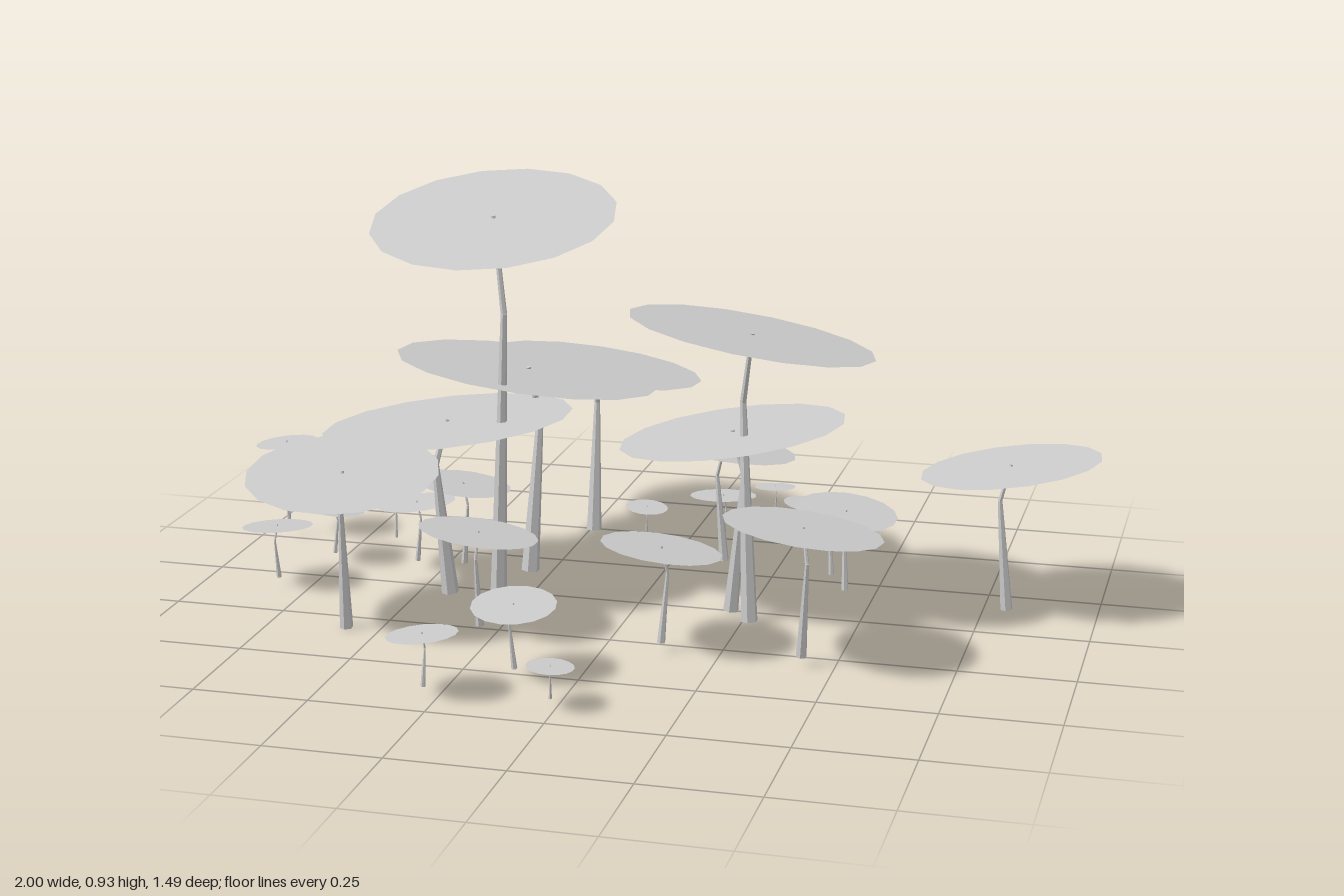
import * as THREE from 'three';

const UP = new THREE.Vector3(0, 1, 0);
const material = new THREE.MeshStandardMaterial({ color: 0xcccccc, flatShading: true, side: THREE.DoubleSide });

// Tapered straight piece of stem between two points
function stemPiece(name, from, to, rFrom, rTo) {
  const dir = to.clone().sub(from);
  const mesh = new THREE.Mesh(new THREE.CylinderGeometry(rTo, rFrom, dir.length(), 6), material);
  mesh.name = name;
  mesh.position.copy(from).add(to).multiplyScalar(0.5);
  mesh.quaternion.setFromUnitVectors(UP, dir.normalize());
  return mesh;
}

// Plant at x, z with pad radius r; a pad's height follows its size and most pads lean the same way
function makePlant(index, x, z, r, { y = r * 1.77, leanX = -0.12, leanZ = 0.1 } = {}) {
  const plant = new THREE.Group();
  plant.name = `lilyPlant${index + 1}`;

  // Flat tilted leaf pad
  const padGeometry = new THREE.CircleGeometry(r, 16, index * 0.7).rotateX(-Math.PI / 2);
  const pad = new THREE.Mesh(padGeometry, material);
  pad.name = 'leafPad';
  pad.position.set(x, y, z);
  pad.quaternion.setFromUnitVectors(UP, new THREE.Vector3(-leanX, 1, -leanZ).normalize());

  // Bent stem, widening toward its foot; each plant bends a golden angle further round
  const angle = THREE.MathUtils.degToRad(30 + index * 137.5);
  const bend = r * 0.11;
  const foot = new THREE.Vector3(x, r < 0.2 ? 0.02 : 0, z);
  const knee = new THREE.Vector3(x + bend * Math.cos(angle), y * 0.76, z + bend * Math.sin(angle));
  const tip = new THREE.Vector3(x, y + 0.004, z);
  plant.add(
    pad,
    stemPiece('lowerStem', foot, knee, r * 0.07, r * 0.027),
    stemPiece('upperStem', knee, tip, r * 0.027, r * 0.018),
  );
  return plant;
}

export function createModel() {
  const model = new THREE.Group();
  model.name = 'lilyPads';
  const add = (...plant) => model.add(makePlant(model.children.length, ...plant));

  // Large pads
  add(-0.31, 0.06, 0.27, { y: 0.87, leanX: 0.02, leanZ: -0.23 });
  add(0.8, -0.16, 0.2, { y: 0.33, leanX: 0.15, leanZ: 0.03 });
  add(-0.3, -0.155, 0.3, { y: 0.48 });
  add(-0.575, 0.32, 0.21, { y: 0.35, leanX: -0.01, leanZ: -0.14 });
  add(0.265, 0.06, 0.27, { y: 0.645, leanX: -0.16 });
  add(0.21, 0, 0.25, { y: 0.41, leanX: 0.15, leanZ: 0.02 });
  add(-0.43, 0.04, 0.28, { y: 0.4, leanX: 0.11, leanZ: 0.03 });
  add(-0.24, -0.49, 0.26, { y: 0.41 });

  // Medium pads
  add(0.43, 0.305, 0.17);
  add(0.13, -0.28, 0.165);
  add(0.125, 0.295, 0.13);
  add(-0.28, 0.29, 0.13);
  add(0.44, -0.14, 0.115, { leanZ: -0.06 });
  add(-0.445, -0.11, 0.11, { y: 0.21, leanZ: 0.05 });

  // Small pads
  add(-0.13, 0.525, 0.09, { leanX: 0, leanZ: -0.13 });
  add(-0.28, 0.67, 0.075, { leanX: 0.1, leanZ: 0.05 });
  add(-0.01, 0.67, 0.05, { leanX: -0.05, leanZ: 0.02 });
  add(-0.93, -0.25, 0.073, { y: 0.235, leanX: 0.1, leanZ: 0.02 });
  add(-0.76, -0.105, 0.073, { leanZ: 0.06 });
  add(-0.82, 0.095, 0.08, { leanX: 0.06 });
  add(-0.66, -0.25, 0.05, { y: 0.2, leanX: -0.08, leanZ: -0.04 });
  add(0.17, -0.66, 0.05, { leanX: 0.03 });
  add(0.31, -0.425, 0.07, { leanZ: 0.05 });
  add(0.1, -0.4, 0.078, { leanX: 0.02 });
  add(-0.09, -0.42, 0.05, { leanX: -0.08, leanZ: -0.05 });
  add(0.39, -0.24, 0.09, { leanX: -0.06 });
  add(-0.555, -0.1, 0.09, { leanX: 0.11, leanZ: 0.03 });
  return model;
}
